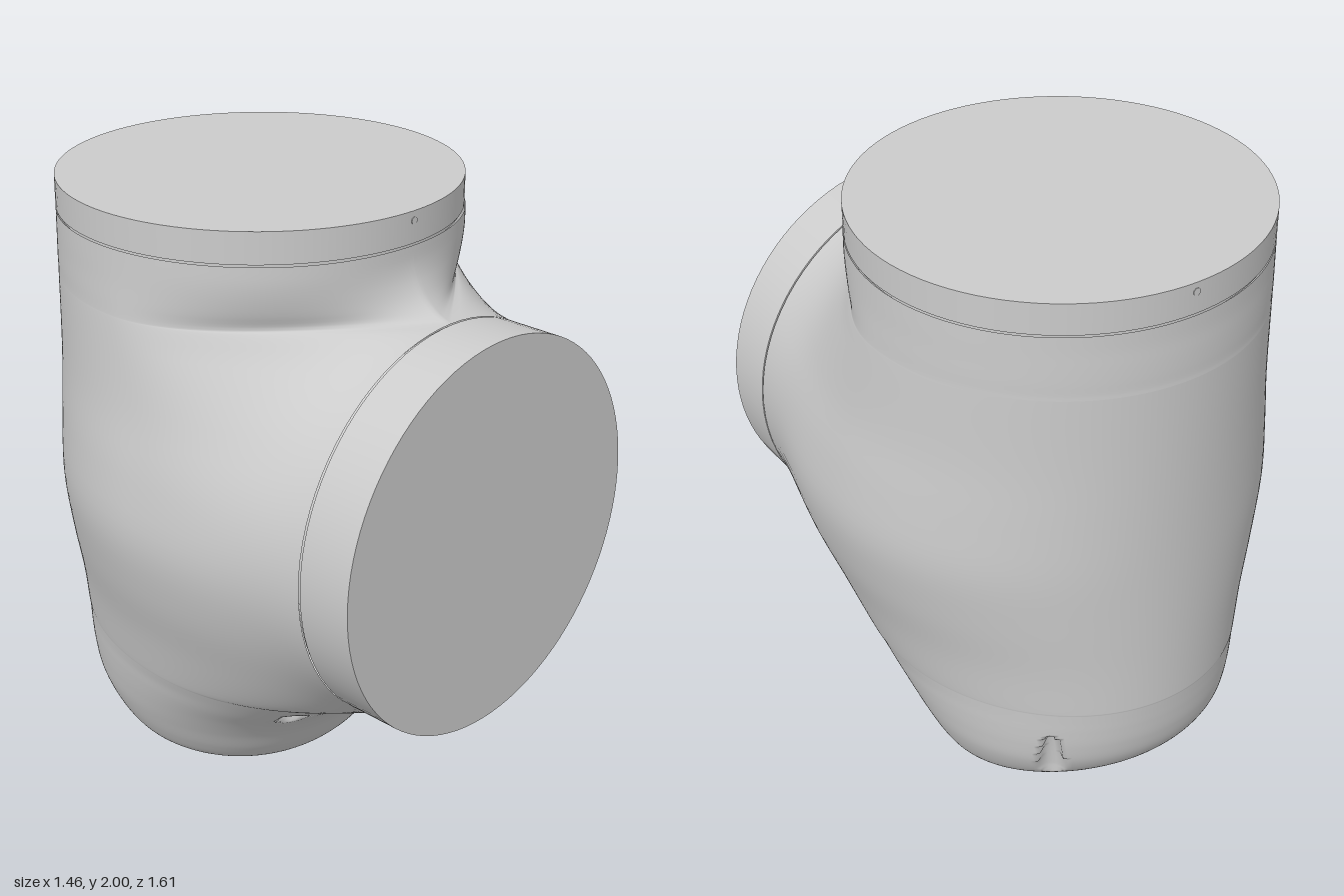
import * as THREE from 'three';

const grey = new THREE.MeshStandardMaterial({ color: 0xcccccc });
const greyDouble = new THREE.MeshStandardMaterial({ color: 0xcccccc, side: THREE.DoubleSide });
const { lerp, clamp } = THREE.MathUtils;
const R = 0.635, RING_Y = 1.055, TOP_Z = -0.165;

// Half width and depth of the widest point along the middle of the housing: y, w, zc
const girth = new THREE.CatmullRomCurve3([
  [0.42, 0.588, -0.1], [0.6, 0.635, -0.04], [0.8, 0.695, 0], [1, 0.729, 0],
  [1.2, 0.712, -0.02], [1.4, 0.677, -0.07], [1.69, 0.645, -0.14],
].map(p => new THREE.Vector3(...p))).getPoints(80);

function girthAt(y) {
  const k = Math.max(1, girth.findIndex(p => p.x >= y));
  const a = girth[k - 1], b = girth[k];
  const t = clamp((y - a.x) / (b.x - a.x), 0, 1);
  return [lerp(a.y, b.y, t), lerp(a.z, b.z, t)];
}

// Sections: front y, front z, back y, back z, half width, widest z, front flare, front chord
const lowerSections = [
  [0.004, 0.025, 0.145, -0.62, 0.405, -0.29, 0, 0],
  [0.014, 0.08, 0.153, -0.655, 0.433, -0.28, 0, 0],
  [0.04, 0.125, 0.172, -0.688, 0.457, -0.27, 0, 0],
  [0.1, 0.178, 0.212, -0.73, 0.487, -0.26, 0, 0],
  [0.19, 0.237, 0.275, -0.767, 0.52, -0.24, 0, 0],
  [0.27, 0.307, 0.35, -0.787, 0.545, -0.2, 0, 0],
  [0.335, 0.4, 0.42, -0.796, 0.564, -0.16, 0.12, 0],
  [0.382, 0.505, 0.465, -0.8, 0.576, -0.13, 0.5, 0],
  [0.42, 0.62, 0.5, -0.803, 0.588, -0.1, 1, 0],
];
const upperSections = [
  [1.705, 0.575, 1.705, -0.803, 0.644, -0.143, 0.8, 0],
  [1.74, 0.525, 1.74, -0.803, 0.642, -0.15, 0.45, 0],
  [1.79, 0.49, 1.79, -0.802, 0.639, -0.157, 0.17, 0],
  [1.84, 0.474, 1.84, -0.8, 0.637, -0.163, 0.03, 0],
  [1.895, 0.47, 1.895, -0.8, R, TOP_Z, 0, 0],
];

// Sections beside the front flange, opened by a chord of its circle
function flangeSections(n) {
  const s = [];
  for (let i = 1; i <= n; i++) {
    const a = Math.PI * i / n;
    const y = RING_Y - R * Math.cos(a);
    const [w, zc] = girthAt(y);
    const chord = i < n ? R * Math.sin(a) : 0;
    s.push([y, 0.62, y + 0.08 * (1 - i / n), -0.804, w, zc, 1, chord]);
  }
  return s;
}

// One section outline, from the front round the left side, back and right side
function outline([yF, zF, yB, zB, w, zc, flare, c]) {
  const q2 = (c / R) ** 2, up = clamp((yF - 0.42) / 1.27, 0, 1);
  const n = 60, half = [];
  // The front handles draw the side in towards the flange, more so near the top
  const blunt = yF < 0.42 ? lerp(0.62, 0.74, yF / 0.42) : 0.62;
  const flaredX = Math.max(lerp(lerp(0.43, 0.2, up), 0.67, q2), c + 0.015);
  const p2x = lerp(blunt * w, flaredX, flare);
  const p2z = zF - flare * (lerp(0.16, 0.25, q2) + 0.3 * up * q2 * (1 - q2));
  const p1z = lerp(zc, zF, 0.5 - 0.08 * flare * (1 - q2));
  const side = new THREE.CubicBezierCurve(
    new THREE.Vector2(c, zF), new THREE.Vector2(p2x, p2z),
    new THREE.Vector2(w, p1z), new THREE.Vector2(w, zc));
  for (let i = 0; i < n; i++) {
    const p = side.getPoint(i / n);
    half.push([p.x, p.y]);
  }
  for (let i = 0; i <= n; i++) {
    const a = Math.PI / 2 * i / n;
    half.push([w * Math.cos(a), zc - (zc - zB) * Math.sin(a)]);
  }
  const all = half.concat(half.slice(0, -1).reverse().map(([x, z]) => [-x, z]));
  return all.map(([x, z]) => [x, lerp(yB, yF, (z - zB) / (zF - zB)), z]);
}

// Adds smooth rows between the given ones
function refine(rows, steps) {
  const columns = rows[0].map((_, j) =>
    new THREE.CatmullRomCurve3(rows.map(r => new THREE.Vector3(...r[j])))
      .getPoints((rows.length - 1) * steps));
  return columns[0].map((_, i) => columns.map(col => col[i].toArray()));
}

// Presses upright screw recesses into the lower wall: points inside a bore move to its inner side
function pressRecesses(rows) {
  for (const p of rows.flat()) {
    for (const [bx, bz, top] of [[0.33, 0.292, 0.7], [0.345, -0.63, 0.46]]) {
      const r = 0.047 * Math.sqrt(clamp((top - p[1]) / 0.25, 0, 1));
      const x = Math.abs(p[0]) - bx, z = p[2] - bz;
      if (x * x + z * z > r * r) continue;
      const d = new THREE.Vector2(-bx, -0.2 - bz).normalize();
      const along = x * d.x + z * d.y;
      const t = Math.sqrt(along * along + r * r - x * x - z * z) - along;
      p[0] += Math.sign(p[0]) * t * d.x;
      p[2] += t * d.y;
    }
  }
  return rows;
}

function meshFrom(points, index) {
  const g = new THREE.BufferGeometry();
  g.setAttribute('position', new THREE.Float32BufferAttribute(points.flat(), 3));
  g.setIndex(index);
  g.computeVertexNormals();
  return new THREE.Mesh(g, greyDouble);
}

function buildHousing(rows) {
  const m = rows[0].length, index = [];
  for (let i = 0; i < rows.length - 1; i++) {
    for (let j = 0; j < m - 1; j++) {
      const a = i * m + j, b = a + m;
      index.push(a, a + 1, b + 1, a, b + 1, b);
    }
  }
  const mesh = meshFrom(rows.flat(), index);
  // Smooth the normals over the front centre line
  const nor = mesh.geometry.attributes.normal;
  rows.forEach((row, i) => {
    if (row[0][0] > 1e-6) return;
    for (const k of [i * m, i * m + m - 1]) {
      const l = Math.hypot(nor.getY(k), nor.getZ(k)) || 1;
      nor.setXYZ(k, 0, nor.getY(k) / l, nor.getZ(k) / l);
    }
  });
  return mesh;
}

export function createModel() {
  const model = new THREE.Group();
  const add = (name, mesh) => { mesh.name = name; model.add(mesh); return mesh; };

  // Curved elbow housing
  const lower = pressRecesses(refine(lowerSections.map(outline), 10));
  const middle = flangeSections(40).map(outline);
  const upper = refine([middle.at(-1), ...upperSections.map(outline)], 3).slice(1);
  add('housing', buildHousing([...lower, ...middle, ...upper]));

  // Flat sloping base
  const rim = lower[0], index = [];
  for (let j = 1; j <= rim.length; j++) index.push(0, j % rim.length + 1, j);
  add('base', meshFrom([[0, 0.072, -0.29], ...rim], index));

  // A flange with a narrow groove under it, standing along +y from its origin
  const flange = (name, height) => {
    const group = new THREE.Group();
    const disc = new THREE.Mesh(new THREE.CylinderGeometry(R, R, height - 0.006, 96), grey);
    disc.position.y = (height + 0.006) / 2;
    disc.name = name + 'Disc';
    const groove = new THREE.Mesh(new THREE.CylinderGeometry(R - 0.01, R - 0.01, 0.02, 96), grey);
    groove.name = name + 'Groove';
    group.add(disc, groove);
    return add(name, group);
  };
  flange('topFlange', 0.105).position.set(0, 1.895, TOP_Z);
  const front = flange('frontFlange', 0.19);
  front.position.set(0, RING_Y, 0.62);
  front.rotation.x = Math.PI / 2;

  // Small locating pins at the front and back of the top flange
  for (const s of [1, -1]) {
    const pin = add('locatingPin', new THREE.Mesh(new THREE.CylinderGeometry(0.012, 0.012, 0.01, 16), grey));
    pin.rotation.x = Math.PI / 2;
    pin.position.set(0, 1.97, TOP_Z + s * (R - 0.003));
  }
  return model;
}
